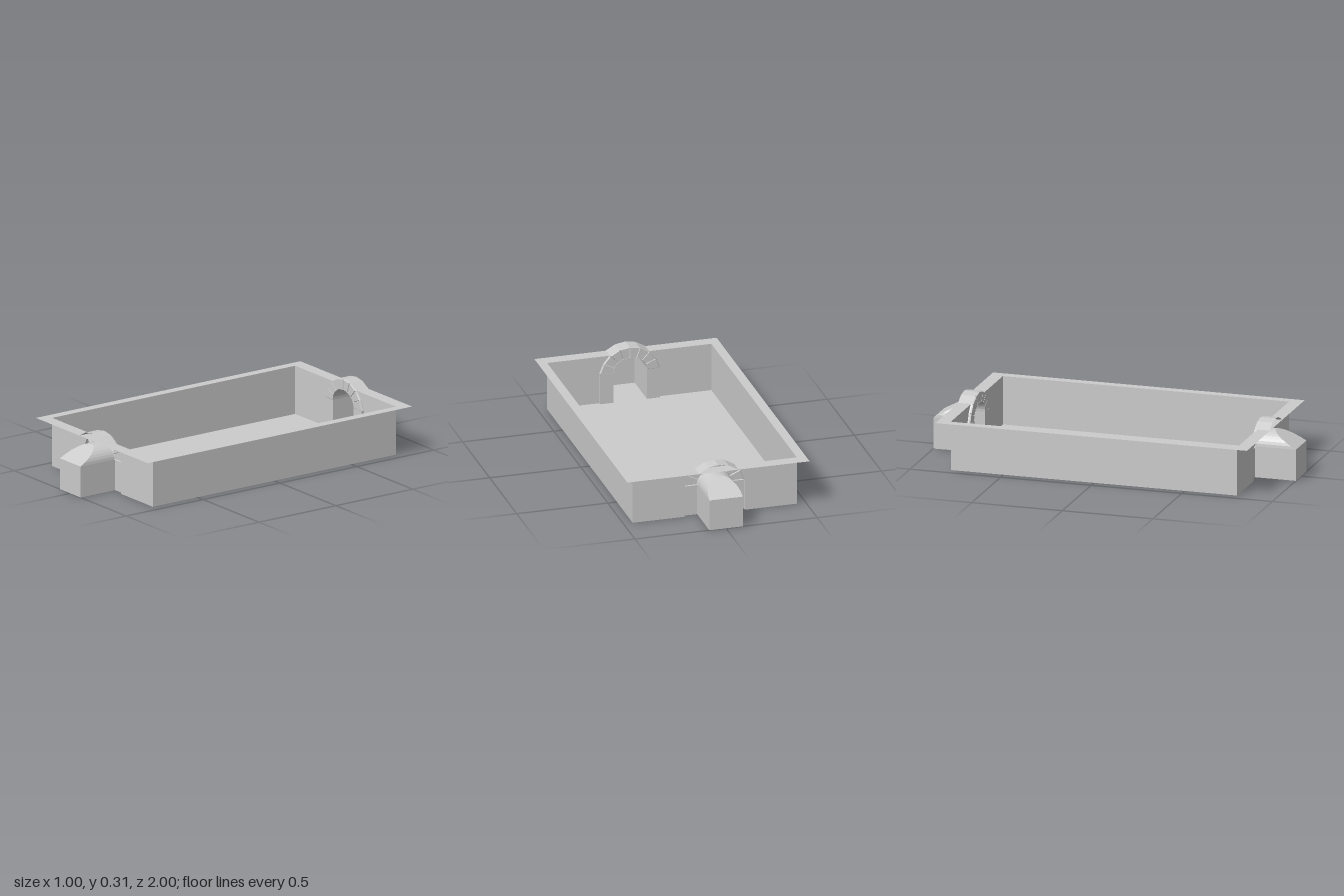
import * as THREE from 'three';

const W = 0.45, L = 0.79, H = 0.265;          // basin half width, half length, height
const RIM_W = 0.5, RIM_L = 0.86;              // outer edge of the rim
const LEG_IN = 0.092, LEG_OUT = 0.165, SPRING = 0.17, CROWN = 0.247;
const FACE = 0.775, BACK = 0.783;             // front and base of the arch stones

const material = new THREE.MeshStandardMaterial({
  color: 0xcccccc, flatShading: true, side: THREE.DoubleSide,
});

function add(parent, name, geometry) {
  const mesh = new THREE.Mesh(geometry, material);
  mesh.name = name;
  parent.add(mesh);
  return mesh;
}

// Flat convex polygons, each a list of corners, joined in one geometry
function polygons(list) {
  const pos = [];
  for (const p of list)
    for (let i = 1; i < p.length - 1; i++) pos.push(...p[0], ...p[i], ...p[i + 1]);
  const g = new THREE.BufferGeometry();
  g.setAttribute('position', new THREE.Float32BufferAttribute(pos, 3));
  g.computeVertexNormals();
  return g;
}

const shapeOf = (pts) => new THREE.Shape(pts.map(([x, y]) => new THREE.Vector2(x, y)));
const rect = (w, l) => [[-w, -l], [w, -l], [w, l], [-w, l]];

// Corners of the arch from the left springing over the crown to the right one
const half = [[LEG_OUT, SPRING], [0.143, 0.224], [0.107, 0.267], [0.055, 0.296]];
const outer = [...half, [0, 0.305], ...half.map(([x, y]) => [-x, y]).reverse()];
const inner = Array.from({ length: 17 }, (_, i) => {
  const a = (i * Math.PI) / 16;
  return [LEG_IN * Math.cos(a), SPRING + (CROWN - SPRING) * Math.sin(a)];
});

// End wall with the arch opening, arch, legs and the tunnel behind them
function portal() {
  const g = new THREE.Group();

  for (const s of [1, -1]) {
    const side = s > 0 ? 'left' : 'right';
    const wall = [[LEG_OUT, 0], [W, 0], [W, H], [0.108, H], [0.143, 0.224], [LEG_OUT, SPRING]];
    add(g, side + 'EndWall', new THREE.ShapeGeometry(shapeOf(wall.map(([x, y]) => [s * x, y]))))
      .position.z = L;

    // Leg: face toward the basin and its outer side
    const a = s * LEG_IN, b = s * LEG_OUT;
    const leg = [
      [[a, 0, FACE], [a, SPRING, FACE], [b, SPRING, FACE], [b, 0, FACE]],
      [[b, 0, FACE], [b, SPRING, FACE], [b, SPRING, L], [b, 0, L]],
    ];
    if (s < 0) leg.forEach((p) => p.reverse());
    add(g, side + 'ArchLeg', polygons(leg));
  }

  // Wedge stones, chamfered so that grooves run between them
  for (let i = 0; i < 8; i++) {
    const p = [outer[i], outer[i + 1], inner[2 * i + 2], inner[2 * i + 1], inner[2 * i]];
    const cx = (p[0][0] + p[1][0] + p[2][0] + p[4][0]) / 4;
    const cy = (p[0][1] + p[1][1] + p[2][1] + p[4][1]) / 4;
    const base = p.map(([x, y]) => [x, y, BACK]);
    const front = p.map(([x, y]) => [cx + (x - cx) * 0.9, cy + (y - cy) * 0.93, FACE]);
    const faces = [[...front].reverse()];
    for (let k = 0; k < 5; k++) {
      const n = (k + 1) % 5;
      faces.push([base[k], front[k], front[n], base[n]]);
    }
    add(g, 'archStone', polygons(faces));
  }

  // Outer skin of the arch; the crown runs over the rim
  const skin = [];
  for (let i = 0; i < 8; i++) {
    const [x0, y0] = outer[i], [x1, y1] = outer[i + 1];
    const z = i > 1 && i < 6 ? RIM_L : L;
    skin.push([[x0, y0, BACK], [x1, y1, BACK], [x1, y1, z], [x0, y0, z]].reverse());
  }
  add(g, 'archCrown', polygons(skin));

  // Barrel-topped tunnel, cut by a slope at its far end
  const cut = (y) => 1 - (Math.max(0, y - SPRING) / (CROWN - SPRING)) * 0.137;
  const profile = [[LEG_IN, 0], ...inner, [-LEG_IN, 0]];
  const shell = [];
  for (let i = 0; i < profile.length - 1; i++) {
    const [x0, y0] = profile[i], [x1, y1] = profile[i + 1];
    shell.push([[x0, y0, FACE], [x0, y0, cut(y0)], [x1, y1, cut(y1)], [x1, y1, FACE]]);
  }
  add(g, 'tunnelVault', polygons(shell));
  add(g, 'tunnelSlope', polygons([inner.map(([x, y]) => [x, y, cut(y)])]));
  add(g, 'tunnelEnd', polygons([
    [[-LEG_IN, 0, 1], [LEG_IN, 0, 1], [LEG_IN, SPRING, 1], [-LEG_IN, SPRING, 1]],
  ]));
  return g;
}

export function createModel() {
  const model = new THREE.Group();
  model.name = 'pool';

  // Floor, notched at the legs and continued through both tunnels
  const edge = [[W, L], [LEG_OUT, L], [LEG_OUT, FACE], [LEG_IN, FACE], [LEG_IN, 1]];
  const floor = [
    ...edge,
    ...edge.map(([x, z]) => [-x, z]).reverse(),
    ...edge.map(([x, z]) => [-x, -z]),
    ...edge.map(([x, z]) => [x, -z]).reverse(),
  ];
  add(model, 'floor', new THREE.ShapeGeometry(shapeOf(floor)).rotateX(-Math.PI / 2));

  // Long walls
  for (const s of [1, -1]) {
    const wall = add(model, s > 0 ? 'leftWall' : 'rightWall', new THREE.PlaneGeometry(2 * L, H));
    wall.rotation.y = (s * Math.PI) / 2;
    wall.position.set(s * W, H / 2, 0);
  }

  // Flat rim around the top
  const rim = shapeOf(rect(RIM_W, RIM_L));
  rim.holes.push(shapeOf(rect(W, L)));
  add(model, 'rim', new THREE.ShapeGeometry(rim).rotateX(-Math.PI / 2)).position.y = H;

  // One portal at each end
  const front = portal();
  front.name = 'frontPortal';
  const back = portal();
  back.name = 'backPortal';
  back.rotation.y = Math.PI;
  model.add(front, back);
  return model;
}
